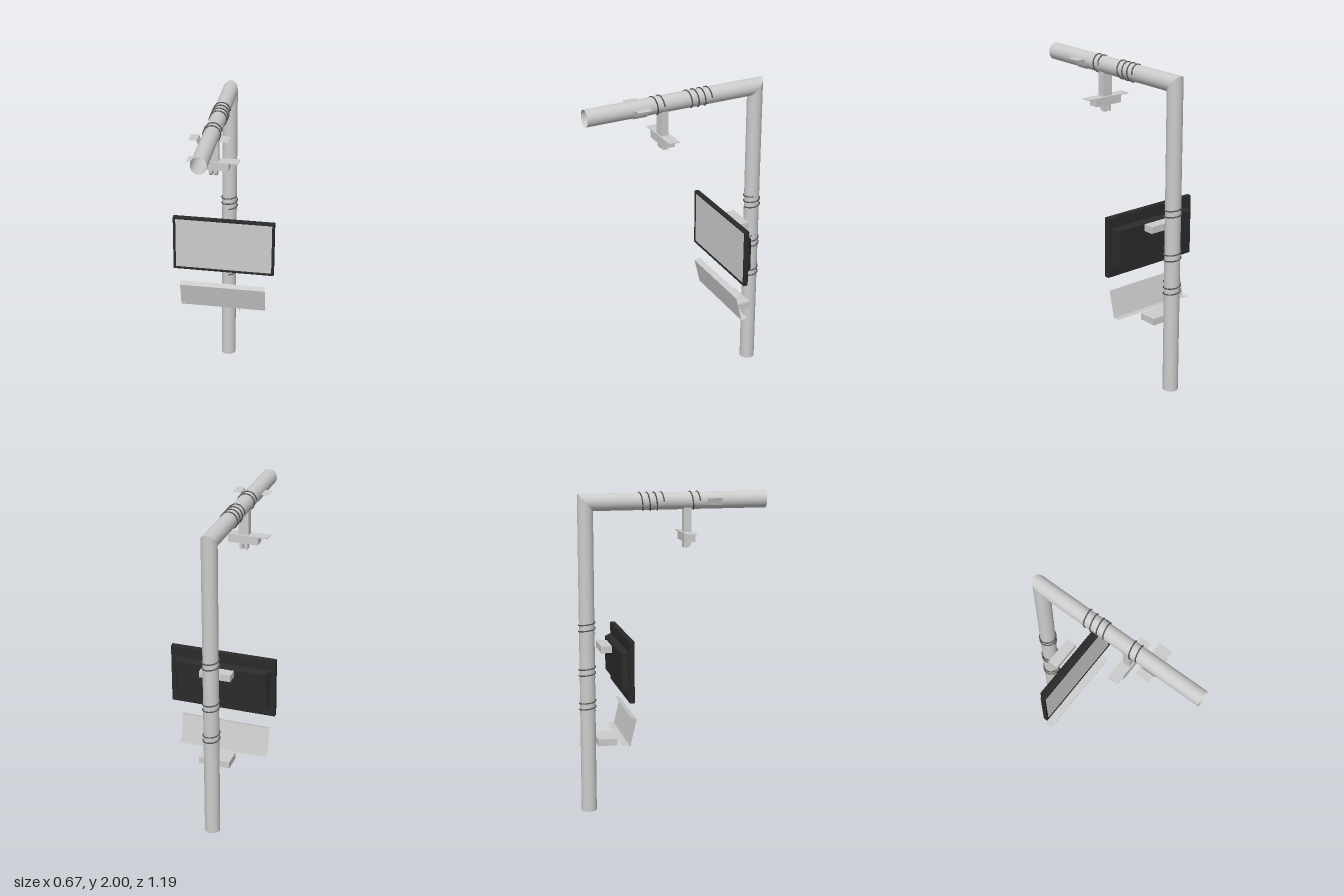
import * as THREE from 'three';
import { RoundedBoxGeometry } from 'three/addons/geometries/RoundedBoxGeometry.js';

const grey = new THREE.MeshStandardMaterial({ color: 0xcccccc });
const sheet = new THREE.MeshStandardMaterial({ color: 0xcccccc, side: THREE.DoubleSide });
const black = new THREE.MeshStandardMaterial({ color: 0x2a2a2a });
const cable = new THREE.MeshStandardMaterial({ color: 0x555555 });

const CX = 0.003, POST_Z = -0.538, ARM_Y = 1.945; // pipe centre lines
const RX = 0.048, RZ = 0.048, RY = 0.053;         // pipe radii

function add(parent, name, geometry, material = grey) {
  const mesh = new THREE.Mesh(geometry, material);
  mesh.name = name;
  parent.add(mesh);
  return mesh;
}

// Box given by its limits on each axis
function box(x0, x1, y0, y1, z0, z1) {
  return new THREE.BoxGeometry(x1 - x0, y1 - y0, z1 - z0)
    .translate((x0 + x1) / 2, (y0 + y1) / 2, (z0 + z1) / 2);
}

function moveVertices(geometry, rule) {
  const p = geometry.attributes.position;
  const v = new THREE.Vector3();
  for (let i = 0; i < p.count; i++) {
    rule(v.fromBufferAttribute(p, i));
    p.setXYZ(i, v.x, v.y, v.z);
  }
  return geometry;
}

// Folded sheet: outline of [a, b] points swept between two limits
function foldedSheet(points, from, to, place) {
  const pos = [];
  for (let i = 0; i < points.length - 1; i++) {
    const a = place(points[i], from), b = place(points[i + 1], from);
    const c = place(points[i + 1], to), d = place(points[i], to);
    pos.push(...a, ...b, ...c, ...a, ...c, ...d);
  }
  const g = new THREE.BufferGeometry();
  g.setAttribute('position', new THREE.Float32BufferAttribute(pos, 3));
  g.computeVertexNormals();
  return g;
}

// Wire wound round a pipe; place(sin, cos, along) sets the axis
function coil(parent, start, pitch, turns, phase, place) {
  const pts = [];
  const n = Math.ceil(turns * 20);
  for (let i = 0; i <= n; i++) {
    const t = (i / n) * turns, a = phase + t * Math.PI * 2;
    pts.push(place(Math.sin(a), Math.cos(a), start + pitch * t));
  }
  add(parent, 'cableCoil', new THREE.TubeGeometry(new THREE.CatmullRomCurve3(pts), n * 2, 0.004, 8), cable);
}

export function createModel() {
  const model = new THREE.Group();
  model.name = 'displayPost';

  // Post and arm, mitred together at the top
  add(model, 'post', moveVertices(new THREE.CylinderGeometry(1, 1, 1, 40, 1, true), v => {
    v.set(CX + v.x * RX, v.y > 0 ? ARM_Y - RY * v.z : 0, POST_Z + RZ * v.z);
  }), sheet);
  add(model, 'postFoot', new THREE.CircleGeometry(RX, 40).rotateX(Math.PI / 2).translate(CX, 0, POST_Z));
  add(model, 'arm', moveVertices(new THREE.CylinderGeometry(1, 1, 1, 40, 1, true).rotateX(Math.PI / 2), v => {
    v.set(CX + v.x * RX, ARM_Y + v.y * RY, v.z > 0 ? 0.594 : POST_Z - RZ * v.y);
  }), sheet);

  // Cable coils on the post and arm
  const coils = new THREE.Group();
  coils.name = 'cableCoils';
  model.add(coils);
  for (const y of [0.64, 0.855, 1.135]) {
    coil(coils, y, 0.038, 2.2, 0, (s, c, h) =>
      new THREE.Vector3(CX + s * 0.051, h, POST_Z + c * 0.051));
  }
  for (const [z, turns] of [[-0.058, 3.5], [0.168, 1.5]]) {
    coil(coils, z, -0.045, turns, -Math.PI / 2, (s, c, h) =>
      new THREE.Vector3(CX + s * 0.051, ARM_Y + c * 0.055, h));
  }

  // Screen with a rim, a panel and a tapered back housing
  const screen = new THREE.Group();
  screen.name = 'screen';
  model.add(screen);
  add(screen, 'screenFrame', new RoundedBoxGeometry(0.667, 0.382, 0.024, 2, 0.006).translate(0, 0.955, -0.323), black);
  const rim = 0.017, w = 0.667, h = 0.382;
  for (const s of [-1, 1]) {
    add(screen, 'screenRim', new RoundedBoxGeometry(rim, h, 0.022, 2, 0.005)
      .translate(s * (w - rim) / 2, 0.955, -0.314), black);
    add(screen, 'screenRim', new RoundedBoxGeometry(w, rim, 0.022, 2, 0.005)
      .translate(0, 0.955 + s * (h - rim) / 2, -0.314), black);
  }
  add(screen, 'screenPanel', box(-0.318, 0.318, 0.78, 1.13, -0.325, -0.307));
  add(screen, 'screenHousing', moveVertices(new THREE.BoxGeometry(2, 2, 1), v => {
    const back = v.z < 0;
    v.set(v.x * (back ? 0.285 : 0.306), 0.955 + v.y * (back ? 0.108 : 0.121), back ? -0.377 : -0.334);
  }).toNonIndexed(), black).geometry.computeVertexNormals();
  add(screen, 'screenBracket', box(-0.093, 0.103, 1.03, 1.073, -0.465, -0.398));

  // Tilted shelf of folded sheet
  const shelf = [[-0.32, 0.667], [-0.284, 0.653], [-0.325, 0.483], [-0.37, 0.487]];
  add(model, 'shelfSheet', foldedSheet(shelf, -0.287, 0.281, (p, x) => [x, p[1], p[0]]), sheet);

  // Shelf bracket, a box open at the front
  const bracket = box(-0.093, 0.103, 0.44, 0.483, -0.49, -0.37);
  const index = Array.from(bracket.index.array);
  index.splice(24, 6);
  bracket.setIndex(index);
  add(model, 'shelfBracket', bracket);

  // Saddle clip under the arm
  const half = [[0.114, 1.965], [0.066, 1.965], [0.05, 1.918], [0.034, 1.899]];
  const saddle = [...half, ...half.slice().reverse().map(([x, y]) => [-x, y])];
  add(model, 'saddleClip', foldedSheet(saddle, 0.213, 0.304, (p, z) => [p[0] + 0.006, p[1], z]), sheet);

  // Hanging sensor mount
  const mount = new THREE.Group();
  mount.name = 'sensorMount';
  model.add(mount);
  add(mount, 'hangerStem', box(-0.03, 0.036, 1.745, 1.905, 0.07, 0.117));
  add(mount, 'mountPlate', box(-0.153, 0.157, 1.748, 1.753, 0.056, 0.125));
  add(mount, 'mountBody', box(-0.093, 0.099, 1.70, 1.75, 0.058, 0.125));

  // Pair of lugs with a rounded front lower corner
  const lug = new THREE.Shape();
  lug.moveTo(0.07, 1.702);
  lug.lineTo(0.07, 1.657);
  lug.lineTo(0.09, 1.657);
  lug.quadraticCurveTo(0.114, 1.66, 0.116, 1.685);
  lug.lineTo(0.116, 1.702);
  for (const x of [-0.022, 0.008]) {
    const g = new THREE.ExtrudeGeometry(lug, { depth: 0.02, bevelEnabled: false, curveSegments: 8 });
    // Turn the shape so its first axis runs along z
    g.rotateY(-Math.PI / 2).translate(x + 0.02, 0, 0);
    add(mount, 'sensorLug', g);
  }

  return model;
}
